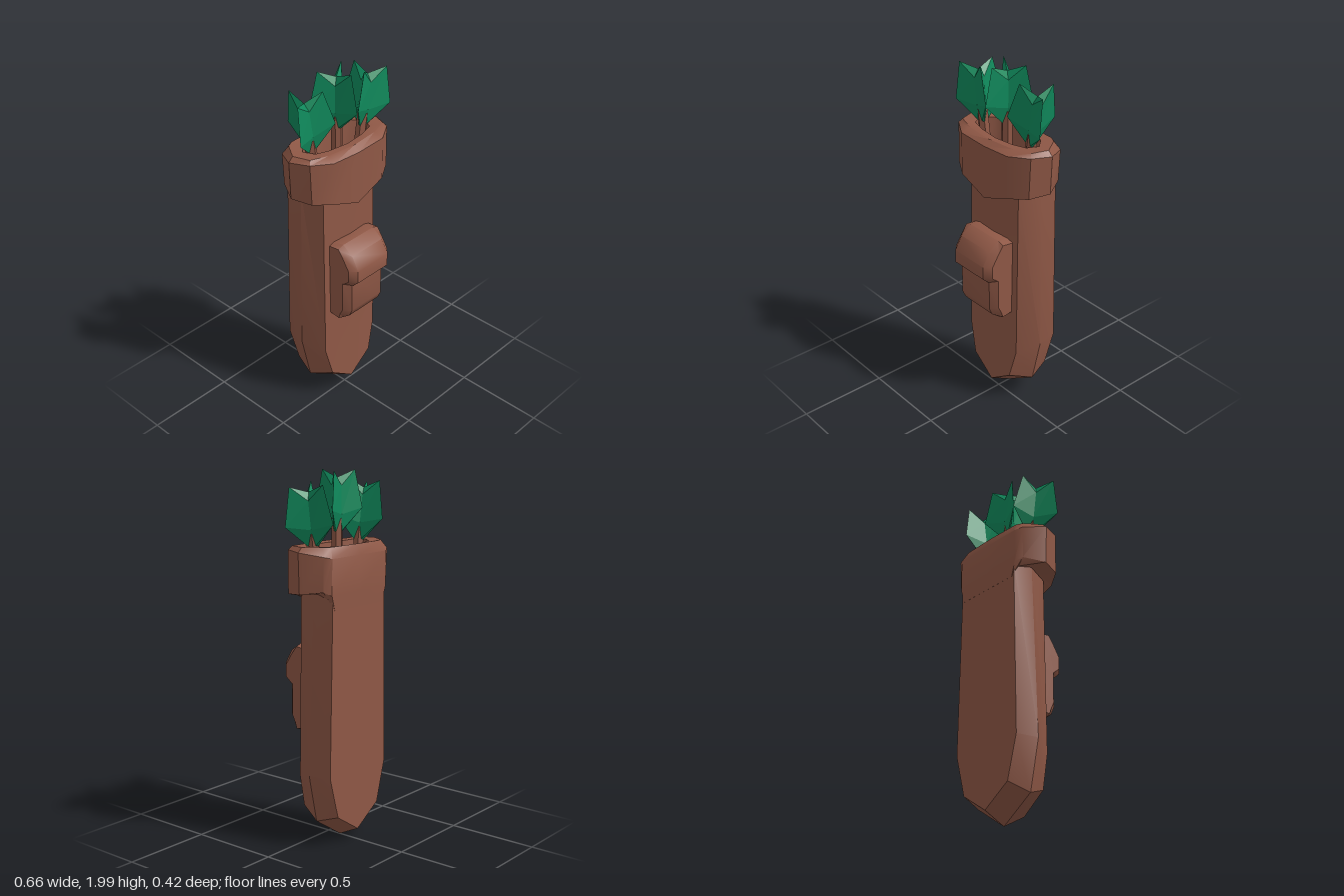
import * as THREE from 'three';
import { toCreasedNormals } from 'three/addons/utils/BufferGeometryUtils.js';

const leather = new THREE.MeshStandardMaterial({ color: 0x8f5846 });
leather.name = 'leather brown';
const feather = new THREE.MeshStandardMaterial({ color: 0x108a5c });
feather.name = 'feather green';

// Completes a half loop (first and last points at x = 0) by mirroring it
const mirror = half => [
  ...half,
  ...half.slice(1, -1).reverse().map(([x, y, z]) => [-x, y, z]),
];

// Skins a series of closed loops and caps both ends
function loft(rings, crease) {
  const pos = [];
  const tri = (...pts) => pts.forEach(p => pos.push(...p));
  const n = rings[0].length;
  const centre = r => [0, 1, 2].map(k => r.reduce((s, p) => s + p[k], 0) / n);
  const first = rings[0], last = rings[rings.length - 1];
  const c0 = centre(first), c1 = centre(last);
  for (let j = 0; j < n; j++) {
    const k = (j + 1) % n;
    for (let i = 0; i < rings.length - 1; i++) {
      const a = rings[i], b = rings[i + 1];
      tri(a[j], a[k], b[k]);
      tri(a[j], b[k], b[j]);
    }
    tri(c0, first[k], first[j]);
    tri(c1, last[j], last[k]);
  }
  const g = new THREE.BufferGeometry();
  g.setAttribute('position', new THREE.Float32BufferAttribute(pos, 3));
  g.computeVertexNormals();
  return crease ? toCreasedNormals(g, crease) : g;
}

function part(name, geometry, material) {
  const mesh = new THREE.Mesh(geometry, material);
  mesh.name = name;
  return mesh;
}

// Pointed case: back, middle and front outlines
function makeBody() {
  const back = [[0, 0.07, -0.204], [0.17, 0.18, -0.204], [0.235, 0.41, -0.204], [0.215, 1.38, -0.204], [0, 1.38, -0.204]];
  const middle = [[0, 0.01, -0.08], [0.2, 0.14, -0.08], [0.26, 0.41, -0.08], [0.23, 1.38, -0.09], [0, 1.38, -0.08]];
  const front = [[0, 0.085, 0.055], [0.15, 0.19, 0.05], [0.195, 0.37, 0.04], [0.19, 1.36, 0.03], [0, 1.36, 0.045]];
  return loft([back, middle, front].map(mirror), 0.6);
}

// Wide folded cuff with an open, hollow mouth
function makeCuff() {
  const under = [[0, 1.27, 0.04], [0.17, 1.35, 0.02], [0.2, 1.38, 0], [0.22, 1.39, -0.07],
    [0.225, 1.36, -0.18], [0.2, 1.3, -0.205], [0, 1.3, -0.205]];
  const lower = [[0, 1.29, 0.1], [0.18, 1.36, 0.1], [0.28, 1.375, 0.04], [0.32, 1.385, -0.07],
    [0.26, 1.4, -0.18], [0.225, 1.38, -0.207], [0, 1.38, -0.207]];
  const upper = [[0, 1.59, 0.1], [0.18, 1.6, 0.1], [0.285, 1.605, 0.035], [0.328, 1.6, -0.07],
    [0.265, 1.58, -0.185], [0.225, 1.57, -0.208], [0, 1.57, -0.208]];
  const rim = [[0, 1.62, 0.068], [0.17, 1.62, 0.05], [0.27, 1.625, 0.02], [0.3, 1.625, -0.07],
    [0.24, 1.625, -0.16], [0.2, 1.625, -0.18], [0, 1.625, -0.185]];
  const mouth = [[0, 1.615, 0.025], [0.12, 1.615, 0.01], [0.2, 1.62, -0.01], [0.23, 1.62, -0.07],
    [0.18, 1.62, -0.125], [0.12, 1.62, -0.15], [0, 1.62, -0.17]];
  const floor = mouth.map(([x, , z]) => [x * 0.8, 1.4, -0.07 + (z + 0.07) * 0.8]);
  return loft([under, lower, upper, rim, mouth, floor].map(mirror), 0.6);
}

// Rounded block from a side profile of [z, y]; the ends are pulled in
function makePad(profile, midY) {
  const ring = (x, inset) => profile.map(([z, y]) => [
    x, midY + (y - midY) * (inset ? 0.9 : 1), inset && z > 0.1 ? z - 0.035 : z,
  ]);
  return loft([ring(-0.152, true), ring(-0.115), ring(0.115), ring(0.152, true)], 0.75);
}

// Three-vaned feather: a star section that swells and ends in notched tips
function makeFletching() {
  const star = (outer, yOuter, inner, yInner) => Array.from({ length: 6 }, (_, i) => {
    const a = i * Math.PI / 3, r = i % 2 ? inner : outer;
    return [r * Math.sin(a), i % 2 ? yInner : yOuter, r * Math.cos(a)];
  });
  return loft([
    star(0.02, 0.37, 0.015, 0.37),
    star(0.143, 0.5, 0.032, 0.47),
    star(0.1, 0.7, 0.03, 0.62),
  ]);
}

export function createModel() {
  const model = new THREE.Group();
  model.name = 'quiver';
  model.add(part('body', makeBody(), leather), part('cuff', makeCuff(), leather));

  // Front pouch and its overhanging flap
  const pouch = [[0.03, 0.88], [0.165, 0.88], [0.165, 0.68], [0.145, 0.635], [0.1, 0.6], [0.03, 0.61]];
  const flap = [[0.03, 1.07], [0.1, 1.08], [0.165, 1.035], [0.208, 0.96], [0.208, 0.885], [0.17, 0.85], [0.03, 0.85]];
  model.add(
    part('pouch', makePad(pouch, 0.75), leather),
    part('pouchFlap', makePad(flap, 0.96), leather),
  );

  // Arrows: one upright, two leaning outward and turned round
  const fletching = makeFletching();
  const shaft = new THREE.CylinderGeometry(0.03, 0.03, 0.45, 6).toNonIndexed();
  shaft.computeVertexNormals();
  shaft.translate(0, 0.225, 0);
  for (const side of [-1, 0, 1]) {
    const arrow = new THREE.Group();
    arrow.name = ['rightArrow', 'middleArrow', 'leftArrow'][side + 1];
    const vanes = part('fletching', fletching, feather);
    if (side) vanes.rotation.y = Math.PI;
    arrow.add(part('shaft', shaft, leather), vanes);
    arrow.position.set(side * 0.13, side ? 1.245 : 1.3, -0.055);
    arrow.rotation.z = -side * 0.15;
    model.add(arrow);
  }
  return model;
}
